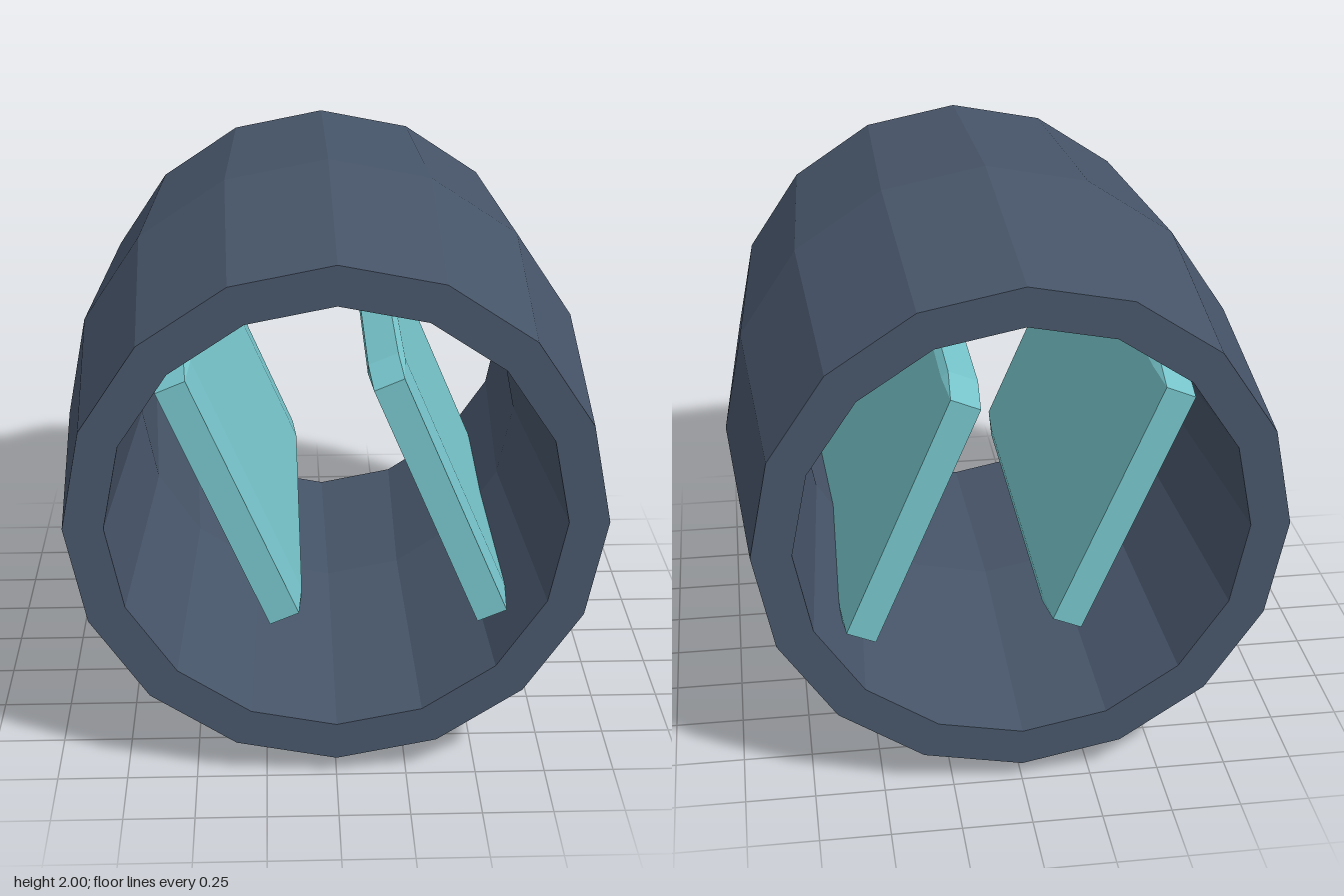
import * as THREE from 'three';
import { ConvexGeometry } from 'three/addons/geometries/ConvexGeometry.js';

// Box with chamfered edges; half sizes h and chamfer sizes b per axis
function chamferedBox(h, b) {
  const points = [];
  for (const sx of [-1, 1]) for (const sy of [-1, 1]) for (const sz of [-1, 1]) {
    const s = [sx, sy, sz];
    for (let axis = 0; axis < 3; axis++) {
      const p = s.map((v, i) => v * (i === axis ? h[i] : h[i] - b[i]));
      points.push(new THREE.Vector3(...p));
    }
  }
  return new ConvexGeometry(points);
}

export function createModel() {
  const group = new THREE.Group();

  const slate = new THREE.MeshStandardMaterial({ color: 0x475569, flatShading: true });
  slate.name = 'slate';
  const teal = new THREE.MeshStandardMaterial({ color: 0x76c4ca, flatShading: true });
  teal.name = 'teal';

  // Sixteen-sided ring with hexagonal section, stretched along z into a barrel
  const tube = 0.14;
  const ringGeometry = new THREE.TorusGeometry(0.86, tube, 6, 16);
  ringGeometry.scale(1, 1, 1 / (tube * Math.sin(Math.PI / 3)));
  const barrel = new THREE.Mesh(ringGeometry, slate);
  barrel.name = 'barrel';
  barrel.position.y = 1;
  group.add(barrel);

  // Two slanted slabs inside the barrel
  const slabGeometry = chamferedBox([0.07, 0.515, 0.85], [0.014, 0.03, 0.17]);
  for (const side of [-1, 1]) {
    const slab = new THREE.Mesh(slabGeometry, teal);
    slab.name = side < 0 ? 'rightSlab' : 'leftSlab';
    slab.position.set(side * 0.37, 1.005, 0);
    slab.rotation.z = 0.4;
    group.add(slab);
  }

  return group;
}
